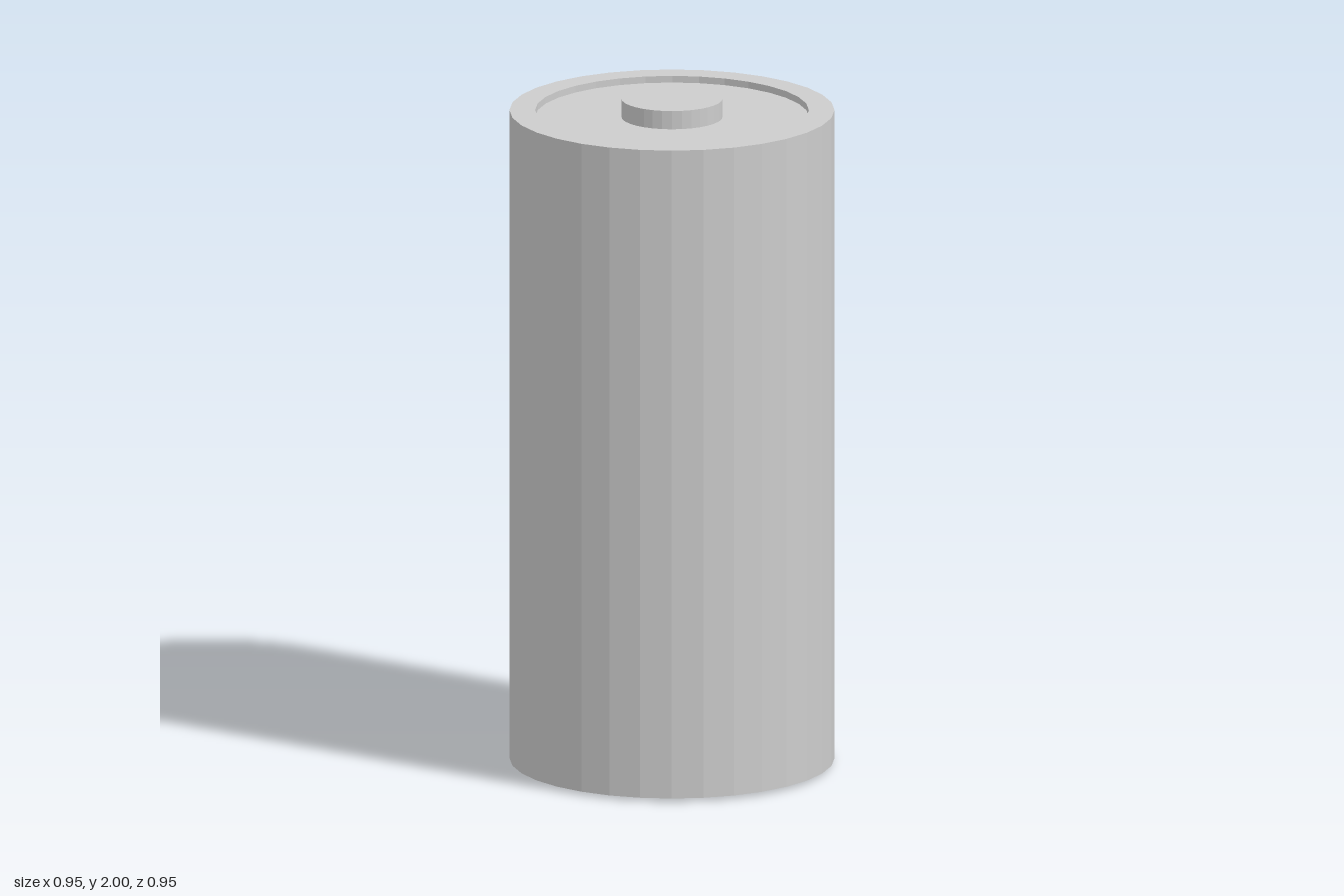
import * as THREE from 'three';

const SIDES = 32;

export function createModel() {
  const model = new THREE.Group();
  model.name = 'batteryCell';
  const metal = new THREE.MeshStandardMaterial({ color: 0xcccccc, flatShading: true });
  metal.name = 'light grey';

  const add = (name, geometry, y = 0) => {
    const mesh = new THREE.Mesh(geometry, metal);
    mesh.name = name;
    mesh.position.y = y;
    model.add(mesh);
  };

  // Casing with a shallow recess in each end, profile from bottom centre to top centre
  const profile = [
    [0, 0.03], [0.4, 0.03], [0.4, 0.01], [0.475, 0.01],
    [0.475, 1.965], [0.4, 1.965], [0.4, 1.945], [0, 1.945],
  ].map(([r, y]) => new THREE.Vector2(r, y));
  add('casing', new THREE.LatheGeometry(profile, SIDES));

  // Raised button on top and flat contact plate below
  const disc = (radius, height) => new THREE.CylinderGeometry(radius, radius, height, SIDES);
  add('topTerminal', disc(0.148, 0.055), 1.9725);
  add('bottomTerminal', disc(0.36, 0.03), 0.015);

  return model;
}
